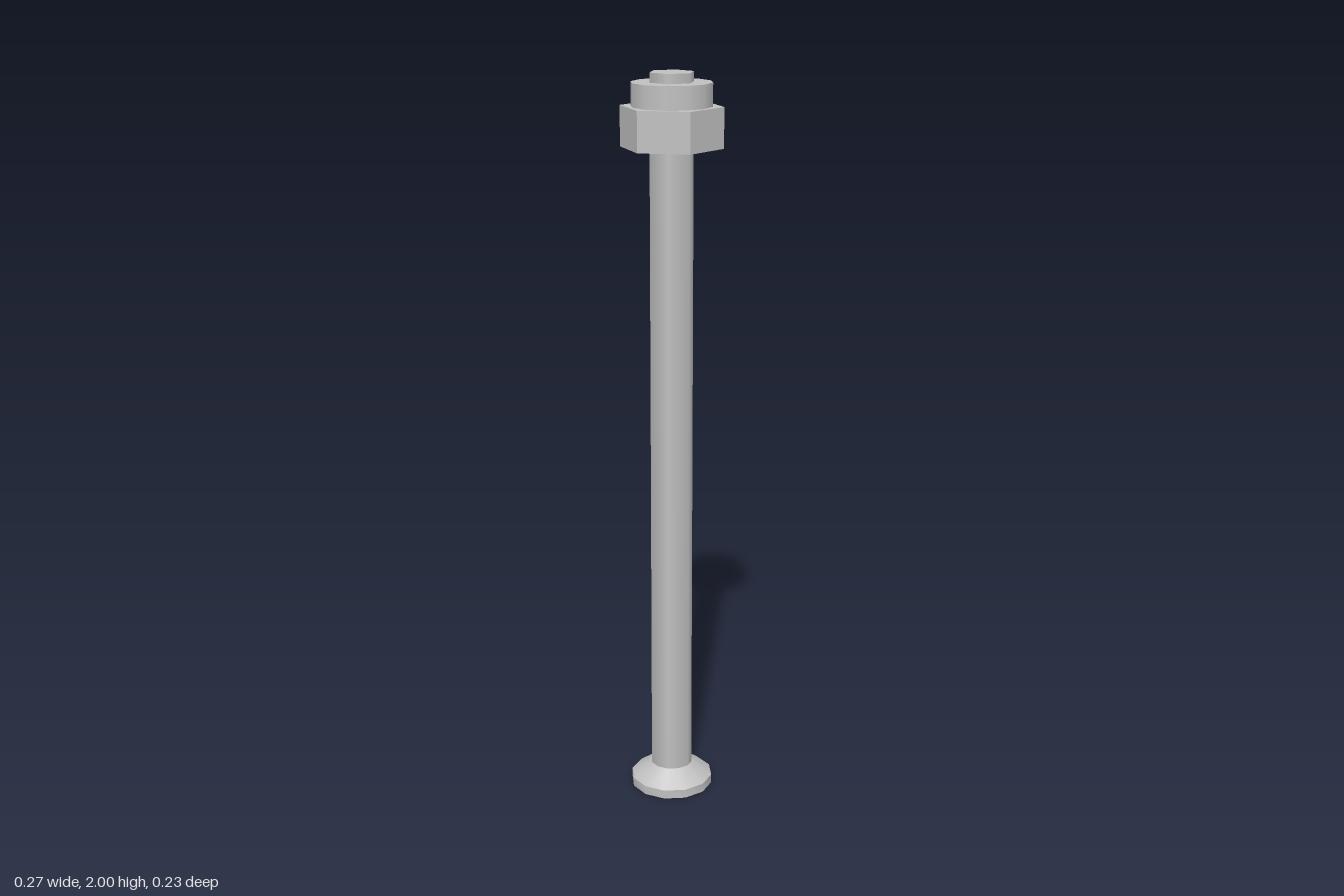
import * as THREE from 'three';
import { toCreasedNormals } from 'three/addons/utils/BufferGeometryUtils.js';

export function createModel() {
  const group = new THREE.Group();
  group.name = 'boltWithNut';
  const steel = new THREE.MeshStandardMaterial({ color: 0xc0c0c0 });
  steel.name = 'steel';

  function add(name, geometry) {
    const mesh = new THREE.Mesh(geometry, steel);
    mesh.name = name;
    group.add(mesh);
    return mesh;
  }
  // Upright prism or cone between two heights
  function turned(name, rTop, rBottom, y0, y1, sides, open = false, start = 0) {
    const g = new THREE.CylinderGeometry(rTop, rBottom, y1 - y0, sides, 1, open, start);
    g.translate(0, (y0 + y1) / 2, 0);
    return add(name, g);
  }

  // Six-sided, smoothly shaded shaft
  turned('shaft', 0.06, 0.06, 0.03, 2, 6);

  // Hexagonal nut with sharp faces, and its round collar
  const nut = turned('nut', 0.135, 0.135, 1.81, 1.915, 6, false, Math.PI / 6);
  nut.geometry = toCreasedNormals(nut.geometry, 0.6);
  turned('nutCollar', 0.106, 0.106, 1.915, 1.975, 12);

  // Countersunk head
  turned('headCone', 0.06, 0.115, 0.025, 0.065, 12, true);

  // Cross-shaped driver recess outline
  const a = 0.08, b = 0.022;
  const cross = [
    [a, -b], [a, b], [b, b], [b, a], [-b, a], [-b, b],
    [-a, b], [-a, -b], [-b, -b], [-b, -a], [b, -a], [b, -b],
  ].map(([x, y]) => new THREE.Vector2(x, y));

  // Head rim pierced by the recess
  const rim = new THREE.Shape(Array.from({ length: 12 }, (_, i) => {
    const t = (i * Math.PI) / 6;
    return new THREE.Vector2(0.115 * Math.cos(t), 0.115 * Math.sin(t));
  }));
  rim.holes.push(new THREE.Path(cross.slice().reverse()));
  const rimGeometry = new THREE.ExtrudeGeometry(rim, { depth: 0.025, bevelEnabled: false });
  rimGeometry.rotateX(-Math.PI / 2);
  add('headRim', toCreasedNormals(rimGeometry, 0.6));

  // Recess floor, facing down
  const floor = new THREE.ShapeGeometry(new THREE.Shape(cross));
  floor.rotateX(Math.PI / 2);
  floor.translate(0, 0.025, 0);
  add('recessFloor', floor);

  return group;
}
